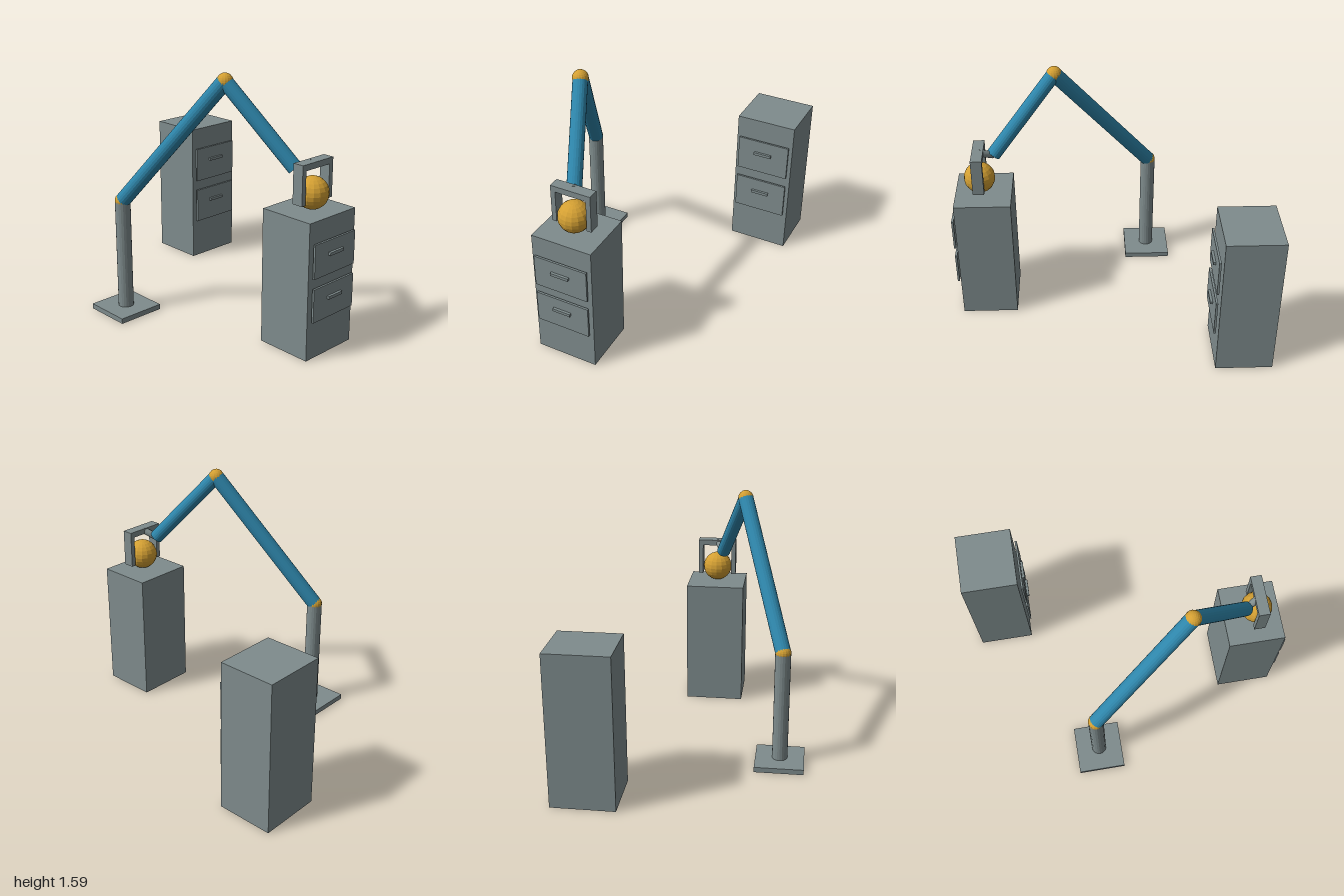
import * as THREE from 'three';

const makeMaterial = (name, color) => {
  const m = new THREE.MeshStandardMaterial({ color, flatShading: true });
  m.name = name;
  return m;
};

export function createModel() {
  const model = new THREE.Group();
  const grey = makeMaterial('steel grey', 0x7f8c8d);
  const blue = makeMaterial('arm blue', 0x2e86ab);
  const gold = makeMaterial('gold', 0xd4a033);

  const add = (parent, name, geometry, material, x = 0, y = 0, z = 0) => {
    const mesh = new THREE.Mesh(geometry, material);
    mesh.name = name;
    mesh.position.set(x, y, z);
    parent.add(mesh);
    return mesh;
  };
  const box = (parent, name, w, h, d, x, y, z) =>
    add(parent, name, new THREE.BoxGeometry(w, h, d), grey, x, y, z);
  const ball = (parent, name, r, p) =>
    add(parent, name, new THREE.SphereGeometry(r, 16, 12), gold, p.x, p.y, p.z);

  // Straight cylinder between two points
  const rod = (parent, name, a, b, r, material) => {
    const dir = b.clone().sub(a);
    const mesh = add(parent, name, new THREE.CylinderGeometry(r, r, dir.length(), 20), material);
    mesh.position.copy(a).lerp(b, 0.5);
    mesh.quaternion.setFromUnitVectors(new THREE.Vector3(0, 1, 0), dir.normalize());
    return mesh;
  };

  // Cabinet with two drawers floating just ahead of its front face
  const cabinet = (name, x, z, height) => {
    const g = new THREE.Group();
    g.name = name;
    g.position.set(x, 0, z);
    box(g, 'cabinetBody', 0.39, height, 0.355, 0, height / 2, 0);
    for (const [panelY, handleY] of [[0.7285, 0.755], [0.4095, 0.4365]]) {
      box(g, 'drawerFront', 0.345, 0.246 * height, 0.013, 0.001, panelY * height, 0.196);
      box(g, 'drawerHandle', 0.117, 0.0185, 0.016, 0.001, handleY * height, 0.21);
    }
    model.add(g);
  };
  cabinet('frontCabinet', -0.062, 0.782, 0.84);
  cabinet('backCabinet', 0.523, -0.823, 0.95);

  // Jointed arm on its stand
  const arm = new THREE.Group();
  arm.name = 'arm';
  model.add(arm);
  const foot = new THREE.Vector3(-0.57, 0.02, -0.294);
  const shoulder = new THREE.Vector3(-0.57, 0.735, -0.294);
  const elbow = new THREE.Vector3(-0.285, 1.537, 0.32);
  const wrist = new THREE.Vector3(-0.11, 1.07, 0.712);
  const grip = new THREE.Vector3(-0.063, 1.113, 0.795);
  box(arm, 'basePlate', 0.305, 0.033, 0.305, foot.x, 0.0165, foot.z);
  rod(arm, 'post', foot, shoulder, 0.048, grey);
  ball(arm, 'shoulderJoint', 0.049, shoulder);
  rod(arm, 'upperArm', shoulder, elbow, 0.048, blue);
  ball(arm, 'elbowJoint', 0.049, elbow);
  rod(arm, 'forearm', elbow, wrist, 0.045, blue);
  rod(arm, 'wristRod', wrist, grip, 0.022, grey);

  // Gripper bracket
  const gripper = new THREE.Group();
  gripper.name = 'gripper';
  gripper.position.set(-0.06, 0, 0.803);
  arm.add(gripper);
  box(gripper, 'crossbar', 0.258, 0.037, 0.07, 0, 1.1115, 0);
  for (const side of [-1, 1]) {
    box(gripper, 'jaw', 0.03, 0.203, 0.07, side * 0.114, 0.9915, 0);
  }

  // Held ball resting on the front cabinet
  ball(model, 'heldBall', 0.098, new THREE.Vector3(-0.061, 0.938, 0.803));

  return model;
}
